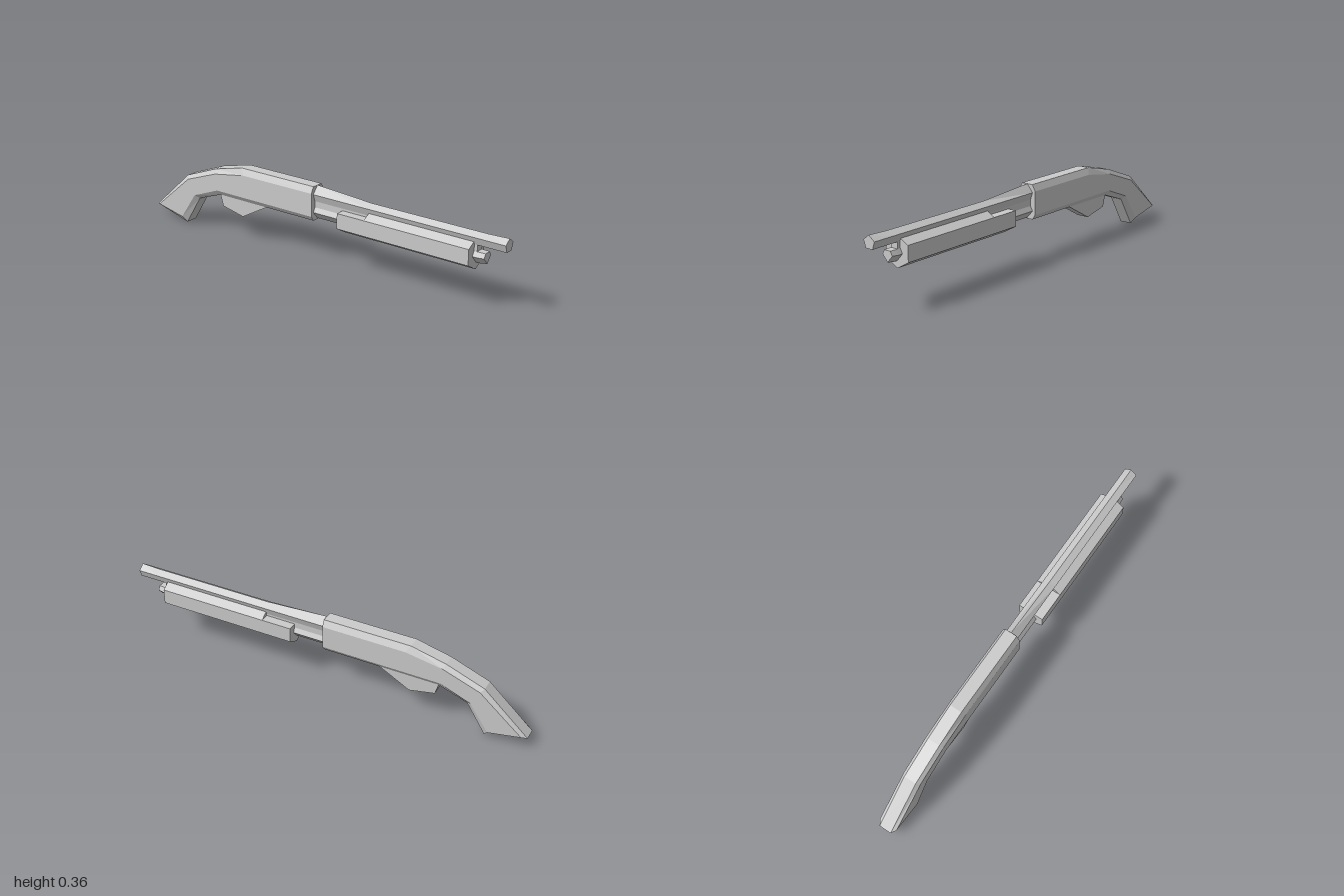
import * as THREE from 'three';

// Skin a list of rings (front to back, each counter-clockwise seen from +z) and cap both ends.
function loft(rings) {
  const pos = [];
  const tri = (a, b, c) => pos.push(...a, ...b, ...c);
  const n = rings[0].length;
  for (let r = 0; r < rings.length - 1; r++) {
    const a = rings[r], b = rings[r + 1];
    for (let i = 0; i < n; i++) {
      const j = (i + 1) % n;
      tri(a[i], b[i], a[j]);
      tri(a[j], b[i], b[j]);
    }
  }
  const first = rings[0], last = rings[rings.length - 1];
  for (let i = 1; i < n - 1; i++) {
    tri(first[0], first[i], first[i + 1]);
    tri(last[0], last[i + 1], last[i]);
  }
  const g = new THREE.BufferGeometry();
  g.setAttribute('position', new THREE.Float32BufferAttribute(pos, 3));
  g.computeVertexNormals();
  return g;
}

const atZ = (profile, z) => profile.map(([x, y]) => [x, y, z]);

export function createModel() {
  const group = new THREE.Group();
  const material = new THREE.MeshStandardMaterial({ color: 0xcccccc, flatShading: true });
  const add = (name, geometry) => {
    const mesh = new THREE.Mesh(geometry, material);
    mesh.name = name;
    group.add(mesh);
    return mesh;
  };

  // Receiver and curved grip: chamfered octagon; each station gives [z, y] of
  // bottom edge, lower side, upper side and top edge.
  const inner = 0.03, outer = 0.046;
  const stations = [
    [[0, 0.195], [0, 0.218], [0, 0.33], [0, 0.36]],
    [[-0.42, 0.195], [-0.42, 0.218], [-0.41, 0.33], [-0.43, 0.36]],
    [[-0.57, 0.195], [-0.58, 0.218], [-0.59, 0.3], [-0.6, 0.32]],
    [[-0.71, 0.145], [-0.73, 0.16], [-0.77, 0.235], [-0.785, 0.25]],
    [[-0.8, 0], [-0.82, 0.028], [-0.975, 0.06], [-1, 0.053]],
  ];
  add('receiverAndGrip', loft(stations.map(([b, l, u, t]) => {
    const p = (x, [z, y]) => [x, y, z];
    return [p(-inner, b), p(inner, b), p(outer, l), p(outer, u),
      p(inner, t), p(-inner, t), p(-outer, u), p(-outer, l)];
  })));

  // Barrel: pentagon whose top ridge rises towards the receiver
  const barrel = (apex) => [[-0.019, 0.287], [0.019, 0.287], [0.031, 0.322], [0, apex], [-0.031, 0.322]];
  add('barrel', loft([[1, 0.345], [0.9, 0.341], [0.31, 0.341], [0, 0.36]]
    .map(([z, apex]) => atZ(barrel(apex), z))));

  // Magazine tube: inverted pentagon, slightly tapered at the front
  const tube = (s) => [[0, 0.2], [0.031, 0.235], [0.019, 0.257], [-0.019, 0.257], [-0.031, 0.235]]
    .map(([x, y]) => [x * s, 0.257 + (y - 0.257) * s]);
  add('magazineTube', loft([atZ(tube(0.9), 0.9), atZ(tube(1), 0.87), atZ(tube(1), -0.07)]));

  // Rib joining barrel and tube
  const rib = new THREE.BoxGeometry(0.038, 0.044, 0.86);
  rib.translate(0, 0.272, 0.43);
  add('rib', rib);

  // Sliding forend: full hexagon in front, flat-topped at the rear
  const forend = (apex) => [[0, 0.167], [0.063, 0.203], [0.063, 0.277], [0, apex], [-0.063, 0.277], [-0.063, 0.203]];
  add('forend', loft([atZ(forend(0.313), 0.845), atZ(forend(0.313), 0.305)]));
  add('forendRear', loft([atZ(forend(0.277), 0.305), atZ(forend(0.277), 0.158)]));

  // Trigger guard: side outline in (z, y), extruded across x
  const outline = new THREE.Shape([[-0.28, 0.2], [-0.28, 0.196], [-0.43, 0.113], [-0.555, 0.14], [-0.575, 0.21]]
    .map(([z, y]) => new THREE.Vector2(z, y)));
  const guard = new THREE.ExtrudeGeometry(outline, { depth: 0.06, bevelEnabled: false });
  guard.rotateY(-Math.PI / 2);
  guard.translate(0.03, 0, 0);
  add('triggerGuard', guard);

  return group;
}
